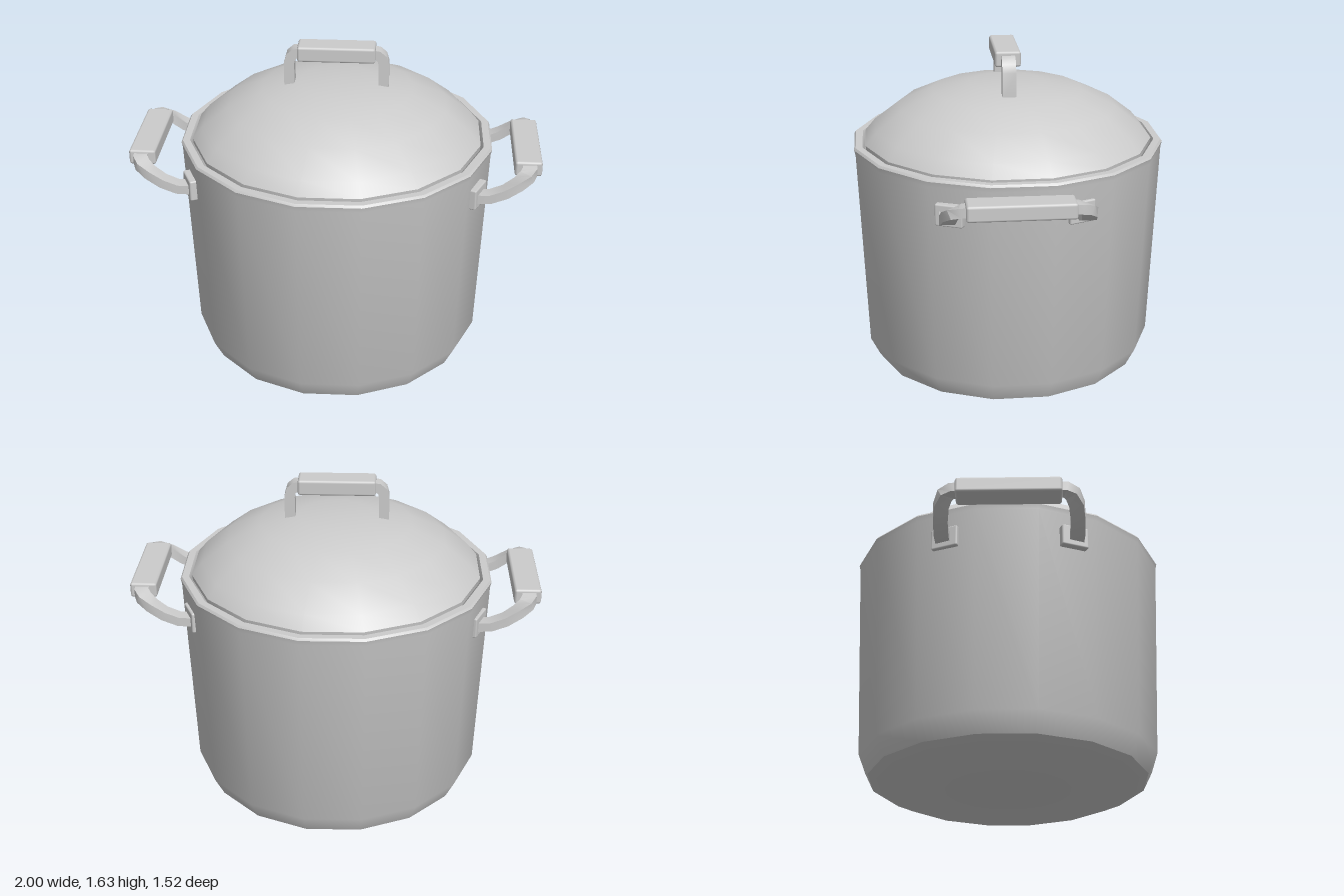
import * as THREE from 'three';
import { toCreasedNormals } from 'three/addons/utils/BufferGeometryUtils.js';
import { RoundedBoxGeometry } from 'three/addons/geometries/RoundedBoxGeometry.js';

const CREASE = 0.62;
const SIDES = 16;
const PHI_START = THREE.MathUtils.degToRad(12.8);
const TWIST = 0.015;

const metal = new THREE.MeshStandardMaterial({ color: 0xcccccc });

function mesh(name, geometry) {
  const m = new THREE.Mesh(geometry, metal);
  m.name = name;
  return m;
}

// Sixteen-sided turned body from [radius, height] pairs
function turned(name, profile) {
  const points = profile.map(([r, y]) => new THREE.Vector2(r, y));
  const geo = new THREE.LatheGeometry(points, SIDES, PHI_START);
  return mesh(name, toCreasedNormals(geo, CREASE));
}

// Rectangular bar swept along a path; "ref" fixes the direction of its thickness
function sweep(name, path, ref, width, thickness) {
  const pts = path.map((p) => new THREE.Vector3(...p));
  const pos = [];
  const index = [];
  const corners = [[-1, -1], [1, -1], [1, 1], [-1, 1]];
  pts.forEach((p, i) => {
    const before = pts[Math.max(i - 1, 0)];
    const after = pts[Math.min(i + 1, pts.length - 1)];
    const dirIn = p.clone().sub(before).normalize();
    const dirOut = after.clone().sub(p).normalize();
    const t = dirIn.add(dirOut).normalize();
    const side = t.clone().cross(ref).normalize();
    const up = side.clone().cross(t);
    for (const [s, u] of corners) {
      const v = p.clone().addScaledVector(side, s * width / 2).addScaledVector(up, u * thickness / 2);
      pos.push(v.x, v.y, v.z);
    }
  });
  for (let i = 0; i < pts.length - 1; i++) {
    for (let j = 0; j < 4; j++) {
      const a = i * 4 + j;
      const b = i * 4 + (j + 1) % 4;
      index.push(a, a + 4, b, b, a + 4, b + 4);
    }
  }
  const e = (pts.length - 1) * 4;
  index.push(0, 1, 2, 0, 2, 3, e, e + 2, e + 1, e, e + 3, e + 2);
  const geo = new THREE.BufferGeometry();
  geo.setAttribute('position', new THREE.Float32BufferAttribute(pos, 3));
  geo.setIndex(index);
  return mesh(name, toCreasedNormals(geo, CREASE));
}

// Side handle pointing along +x
function sideHandle(name) {
  const group = new THREE.Group();
  group.name = name;

  const grip = mesh('grip', new RoundedBoxGeometry(0.13, 0.075, 0.485, 1, 0.012));
  grip.position.set(0.93, 1.118, 0);
  group.add(grip);

  for (const s of [1, -1]) {
    // Mounting plate facing outwards from the wall
    const angle = s * THREE.MathUtils.degToRad(23.5);
    const plate = mesh('mountingPlate', new RoundedBoxGeometry(0.04, 0.105, 0.135, 1, 0.008));
    plate.position.set(0.752 * Math.cos(angle), 1.007, 0.752 * Math.sin(angle));
    plate.rotation.y = -angle;
    group.add(plate);

    // Arm rising outwards, then turning into the grip
    group.add(sweep('arm', [
      [0.68, 1.003, s * 0.312],
      [0.75, 1.007, s * 0.316],
      [0.82, 1.035, s * 0.316],
      [0.88, 1.075, s * 0.31],
      [0.92, 1.105, s * 0.291],
      [0.935, 1.118, s * 0.26],
      [0.935, 1.12, s * 0.22],
    ], new THREE.Vector3(0, 1, 0), 0.068, 0.045));
  }
  return group;
}

// Handle on top of the lid
function lidHandle() {
  const group = new THREE.Group();
  group.name = 'lidHandle';
  const grip = mesh('grip', new RoundedBoxGeometry(0.375, 0.076, 0.125, 1, 0.012));
  grip.position.y = 1.594;
  group.add(grip);
  for (const s of [1, -1]) {
    group.add(sweep('leg', [
      [s * 0.228, 1.41, 0],
      [s * 0.228, 1.54, 0],
      [s * 0.22, 1.57, 0],
      [s * 0.2, 1.587, 0],
      [s * 0.16, 1.592, 0],
    ], new THREE.Vector3(0, 0, 1), 0.05, 0.066));
  }
  return group;
}

export function createModel() {
  const model = new THREE.Group();
  model.name = 'cookingPot';

  // Hollow pot: base, outer wall, rim, inner wall
  model.add(turned('pot', [
    [0, 0], [0.58, 0], [0.68, 0.045], [0.727, 0.14],
    [0.766, 1.13], [0.772, 1.155], [0.764, 1.166], [0.73, 1.166],
    [0.722, 1.15], [0.69, 0.15], [0.56, 0.04], [0, 0.04],
  ]));

  // Domed lid with a closed underside
  model.add(turned('lid', [
    [0, 1.145], [0.712, 1.145], [0.715, 1.172], [0.665, 1.232],
    [0.538, 1.33], [0.372, 1.406], [0.185, 1.44], [0, 1.443],
  ]));

  // Opposite side handles
  const handles = new THREE.Group();
  handles.name = 'sideHandles';
  const left = sideHandle('leftHandle');
  const right = sideHandle('rightHandle');
  right.rotation.y = Math.PI;
  handles.add(left, right);
  handles.position.z = 0.022;
  handles.rotation.y = TWIST;
  model.add(handles);

  const top = lidHandle();
  top.position.set(-0.003, 0, 0.01);
  top.rotation.y = TWIST;
  model.add(top);

  return model;
}
